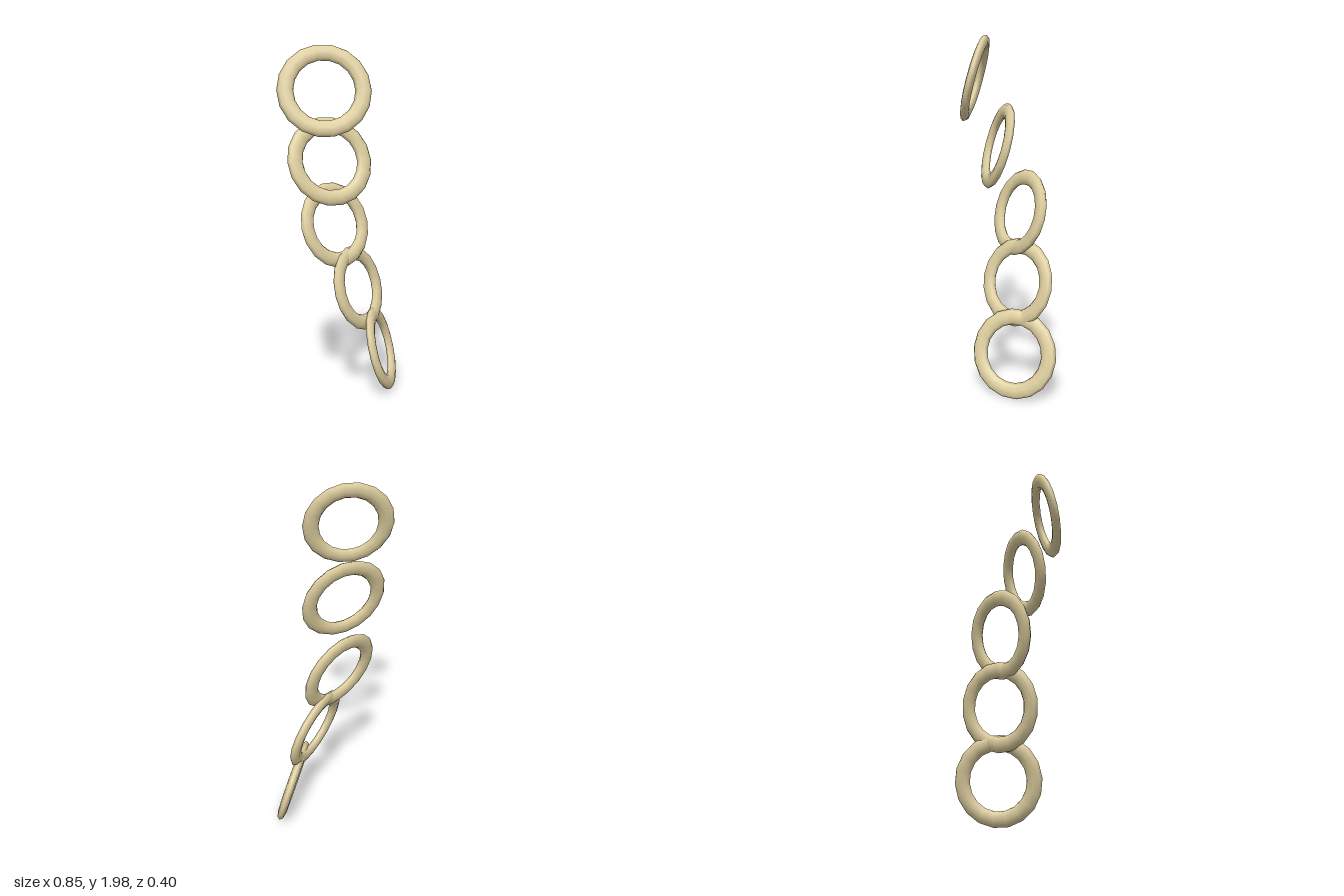
import * as THREE from 'three';

// A leaning chain of five flattened rings, each turned a little further about y.
export function createModel() {
  const model = new THREE.Group();
  const material = new THREE.MeshStandardMaterial({ color: 0xe0d0a0 });

  // Torus squashed along its axis, so the band is wider than it is thick
  const ringGeometry = new THREE.TorusGeometry(0.207, 0.044, 8, 18);
  ringGeometry.scale(1, 1, 0.55);

  const tilt = THREE.MathUtils.degToRad(-15.5);
  const turn = THREE.MathUtils.degToRad(17.5);

  // From the top ring (i = -2) to the bottom ring (i = 2)
  for (let i = -2; i <= 2; i++) {
    const ring = new THREE.Mesh(ringGeometry, material);
    ring.name = `ring${i + 3}`;
    ring.position.set(i * 0.109, 1 - i * 0.377, -0.126 + Math.abs(i) * 0.083);
    ring.rotation.set(tilt, i * turn, 0, 'YXZ');
    model.add(ring);
  }
  return model;
}
